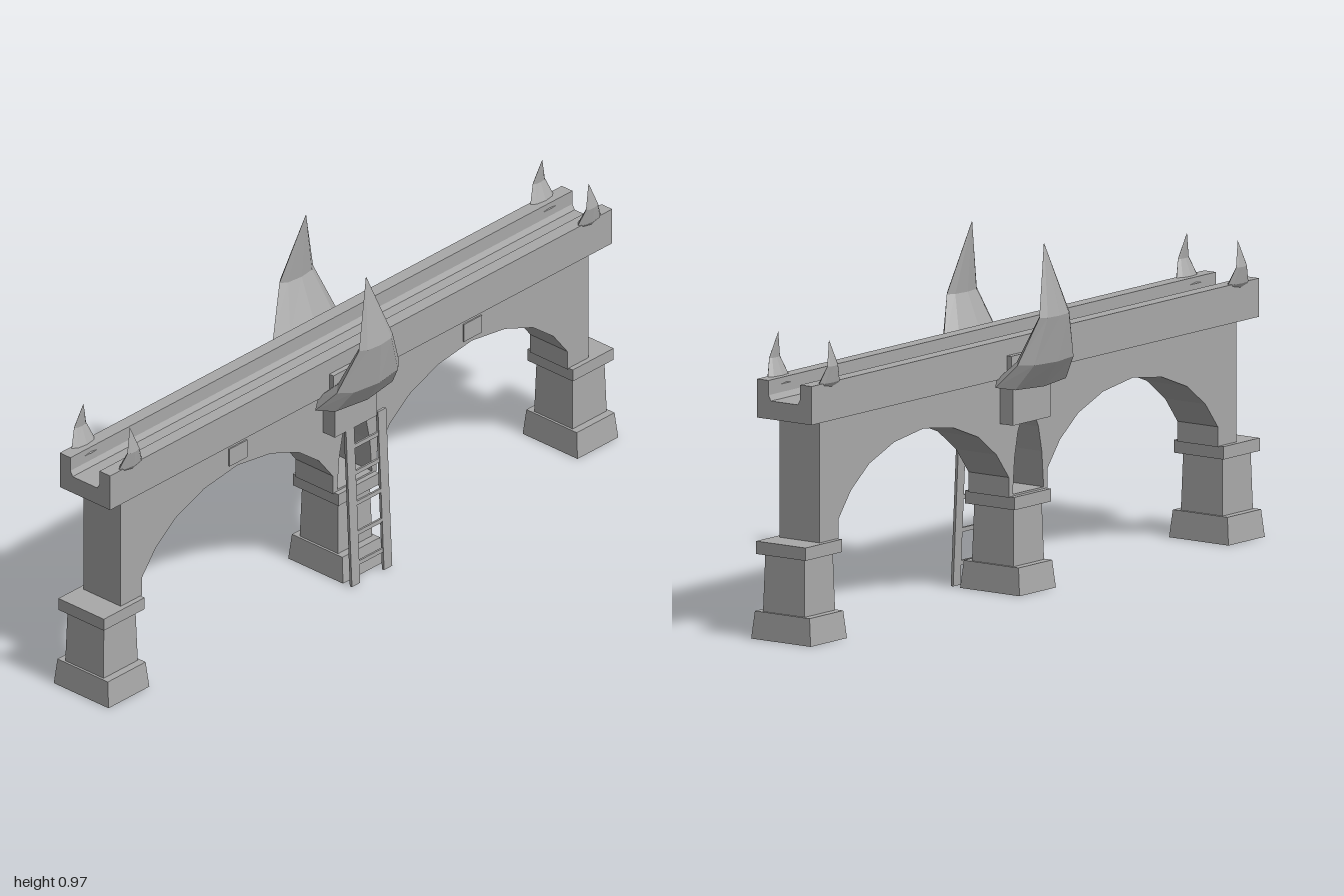
import * as THREE from 'three';

// Closed rings of [x,y,z] points joined into a faceted skin, optionally capped below
function loft(rings, capBottom) {
  const pos = [], n = rings[0].length;
  const tri = (a, b, c) => pos.push(...a, ...b, ...c);
  for (let i = 0; i < rings.length - 1; i++) {
    for (let j = 0; j < n; j++) {
      const k = (j + 1) % n, lo = rings[i], hi = rings[i + 1];
      tri(lo[j], hi[j], lo[k]);
      tri(lo[k], hi[j], hi[k]);
    }
  }
  if (capBottom) for (let j = 1; j < n - 1; j++) tri(rings[0][0], rings[0][j], rings[0][j + 1]);
  const g = new THREE.BufferGeometry();
  g.setAttribute('position', new THREE.Float32BufferAttribute(pos, 3));
  g.computeVertexNormals();
  return g;
}

const rect = (y, hx, hz) => [[hx, y, -hz], [hx, y, hz], [-hx, y, hz], [-hx, y, -hz]];

// Oval ring: centre, radii and a tilt that lowers the outer edge
function oval([cx, cy, cz, rx, rz, tilt]) {
  return Array.from({ length: 8 }, (_, j) => {
    const a = (j / 8) * Math.PI * 2;
    return [cx + rx * Math.cos(a), cy + tilt * Math.cos(a), cz + rz * Math.sin(a)];
  });
}

export function createModel() {
  const model = new THREE.Group();
  model.name = 'archedBridge';
  const stone = new THREE.MeshStandardMaterial({ color: 0xa8a8a8, side: THREE.DoubleSide });
  stone.name = 'grey stone';
  const body = new THREE.Group();
  body.name = 'bridgeBody';
  body.position.x = -0.003;
  model.add(body);

  const add = (name, geo, parent = body) => {
    const m = new THREE.Mesh(geo, stone);
    m.name = name;
    parent.add(m);
    return m;
  };
  const box = (name, x0, x1, y0, y1, z0, z1, parent) => {
    const m = add(name, new THREE.BoxGeometry(x1 - x0, y1 - y0, z1 - z0), parent);
    m.position.set((x0 + x1) / 2, (y0 + y1) / 2, (z0 + z1) / 2);
    return m;
  };

  // Hollow pier feet with tapered plinths and collars
  const foot = loft([
    rect(0, 0.1, 0.08), rect(0.075, 0.092, 0.074),
    rect(0.075, 0.07, 0.067), rect(0.235, 0.066, 0.062),
  ]);
  for (const z of [-0.92, 0, 0.92]) {
    add('pierFoot', foot).position.z = z;
    box('pierCollar', -0.083, 0.083, 0.232, 0.267, z - 0.08, z + 0.08);
  }

  // Arched wall, drawn as (z, y) and extruded across the bridge
  const arch = [[0.375, 0.265], [0.375, 0.32], [0.32, 0.39], [0.24, 0.45], [0.13, 0.492], [0, 0.51]];
  const curve = [...arch, ...arch.slice(0, -1).reverse().map(([z, y]) => [-z, y])];
  const outline = [[-0.918, 0.61], [0.918, 0.61], [0.918, 0.265]];
  for (const c of [0.46, -0.46]) for (const [z, y] of curve) outline.push([c + z, y]);
  outline.push([-0.918, 0.265]);
  const wall = new THREE.Shape(outline.map(([z, y]) => new THREE.Vector2(z, y)));
  // Pointed opening through the middle pier
  const slit = [[-0.068, 0.272], [-0.06, 0.37], [-0.045, 0.44], [-0.025, 0.48], [0, 0.52],
    [0.025, 0.48], [0.045, 0.44], [0.06, 0.37], [0.068, 0.272]];
  wall.holes.push(new THREE.Path(slit.map(([z, y]) => new THREE.Vector2(z, y))));
  const wallGeo = new THREE.ExtrudeGeometry(wall, { depth: 0.136, bevelEnabled: false });
  wallGeo.translate(0, 0, -0.068).rotateY(-Math.PI / 2);
  add('archWall', wallGeo);

  // Trough-shaped deck with parapets
  const section = [[-0.092, 0.6], [0.092, 0.6], [0.092, 0.705], [0.053, 0.705], [0.053, 0.665],
    [0.045, 0.65], [-0.045, 0.65], [-0.053, 0.665], [-0.053, 0.705], [-0.092, 0.705]];
  const deck = new THREE.ExtrudeGeometry(
    new THREE.Shape(section.map(([x, y]) => new THREE.Vector2(x, y))),
    { depth: 1.97, bevelEnabled: false });
  deck.translate(0, 0, -0.985);
  add('deck', deck);

  // Keystones on the left face
  for (const z of [-0.46, 0.46]) box('keystone', 0.066, 0.072, 0.522, 0.575, z - 0.035, z + 0.035);

  // Horn curving outwards and then up to a point
  const horn = loft([
    [0.11, 0.586, 0.042, 0.045, 0.158, -0.014],
    [0.163, 0.648, 0.05, 0.042, 0.122, -0.002],
    [0.203, 0.775, 0.062, 0.02, 0.066, 0],
    [0.173, 0.967, 0.068, 0.0005, 0.0005, 0],
  ].map(oval), true);

  // Large horns with their brackets, turned half round for the other side
  for (const turn of [0, Math.PI]) {
    const side = new THREE.Group();
    side.name = 'hornSide';
    side.rotation.y = turn;
    body.add(side);
    add('largeHorn', horn, side);
    box('hornBracket', 0.06, 0.112, 0.472, 0.6, -0.04, 0.125, side);
    box('bracketTop', 0.06, 0.107, 0.6, 0.66, -0.04, 0.125, side);
  }

  // Small horns on the parapet ends
  const s = 0.36;
  for (const turn of [0, Math.PI]) {
    const side = new THREE.Group();
    side.name = 'parapetHorns';
    side.rotation.y = turn;
    body.add(side);
    for (const z of [-0.9, 0.9]) {
      const h = add('smallHorn', horn, side);
      h.scale.setScalar(s);
      h.position.set(0.05 - 0.065 * s, 0.82 - 0.967 * s, z - 0.055 * s);
    }
  }

  // Ladder leaning on the left bracket
  const ladder = new THREE.Group();
  ladder.name = 'ladder';
  ladder.position.set(0.125, 0.001, 0);
  ladder.rotation.z = Math.atan2(0.022, 0.475);
  model.add(ladder);
  for (const z of [-0.063, 0.063]) box('ladderRail', -0.004, 0.004, 0, 0.478, z - 0.016, z + 0.016, ladder);
  for (const y of [0.06, 0.15, 0.24, 0.332, 0.412]) {
    box('ladderRung', -0.003, 0.003, y - 0.006, y + 0.006, -0.05, 0.05, ladder);
  }
  return model;
}
